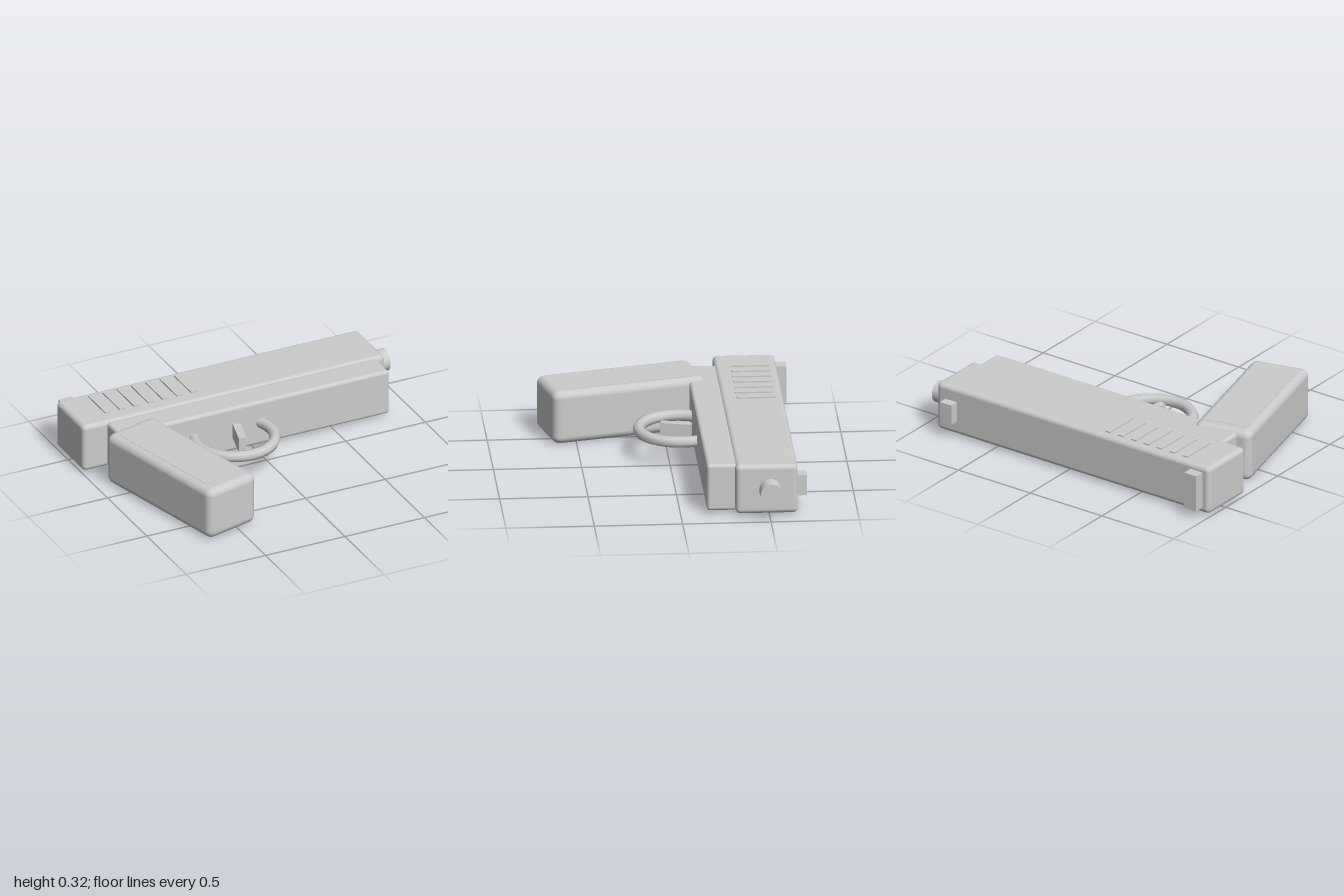
import * as THREE from 'three';
import { RoundedBoxGeometry } from 'three/addons/geometries/RoundedBoxGeometry.js';

export function createModel() {
  const model = new THREE.Group();
  model.name = 'toyPistol';
  const grey = new THREE.MeshStandardMaterial({ color: 0xcccccc });
  grey.name = 'grey';
  const MID = 0.158; // height of the symmetry plane: the pistol lies on its side

  const add = (name, geometry, x, z, turn = 0, parent = model) => {
    const mesh = new THREE.Mesh(geometry, grey);
    mesh.name = name;
    mesh.position.set(x, MID, z);
    mesh.rotation.y = turn;
    parent.add(mesh);
    return mesh;
  };
  const box = (w, h, d) => new THREE.BoxGeometry(w, h, d);
  const rounded = (w, h, d, r) => new RoundedBoxGeometry(w, h, d, 3, r);

  // Slide and frame
  add('slide', rounded(1.9, 0.29, 0.352, 0.028), -0.05, -0.484);
  add('frame', rounded(1.7, 0.275, 0.172, 0.02), 0, -0.234);

  // Barrel end
  const barrel = new THREE.CylinderGeometry(0.064, 0.064, 0.2, 24).rotateZ(Math.PI / 2);
  add('barrel', barrel, 0.9, -0.504);

  // Raking grip with a barely raised panel on each side
  add('grip', rounded(0.35, 0.313, 0.912, 0.045), -0.65, 0.23, 0.245);
  add('gripPanels', box(0.26, 0.316, 0.76), -0.65, 0.22, 0.245);

  // Trigger and its guard ring
  add('triggerGuard', new THREE.TorusGeometry(0.23, 0.033, 8, 32).rotateX(Math.PI / 2), -0.17, -0.064);
  add('trigger', box(0.045, 0.09, 0.175), -0.147, -0.043, -0.26);

  // Sights
  add('rearSight', box(0.083, 0.22, 0.09), -0.912, -0.675);
  add('frontSight', box(0.08, 0.12, 0.09), 0.797, -0.67);

  // Grip ribs, reaching through to both sides of the slide
  const ribs = new THREE.Group();
  ribs.name = 'slideRibs';
  model.add(ribs);
  for (let i = 0; i < 7; i++) {
    add('slideRib', box(0.036, 0.306, 0.22), -0.8 + i * 0.09, -0.505, 0, ribs);
  }
  return model;
}
